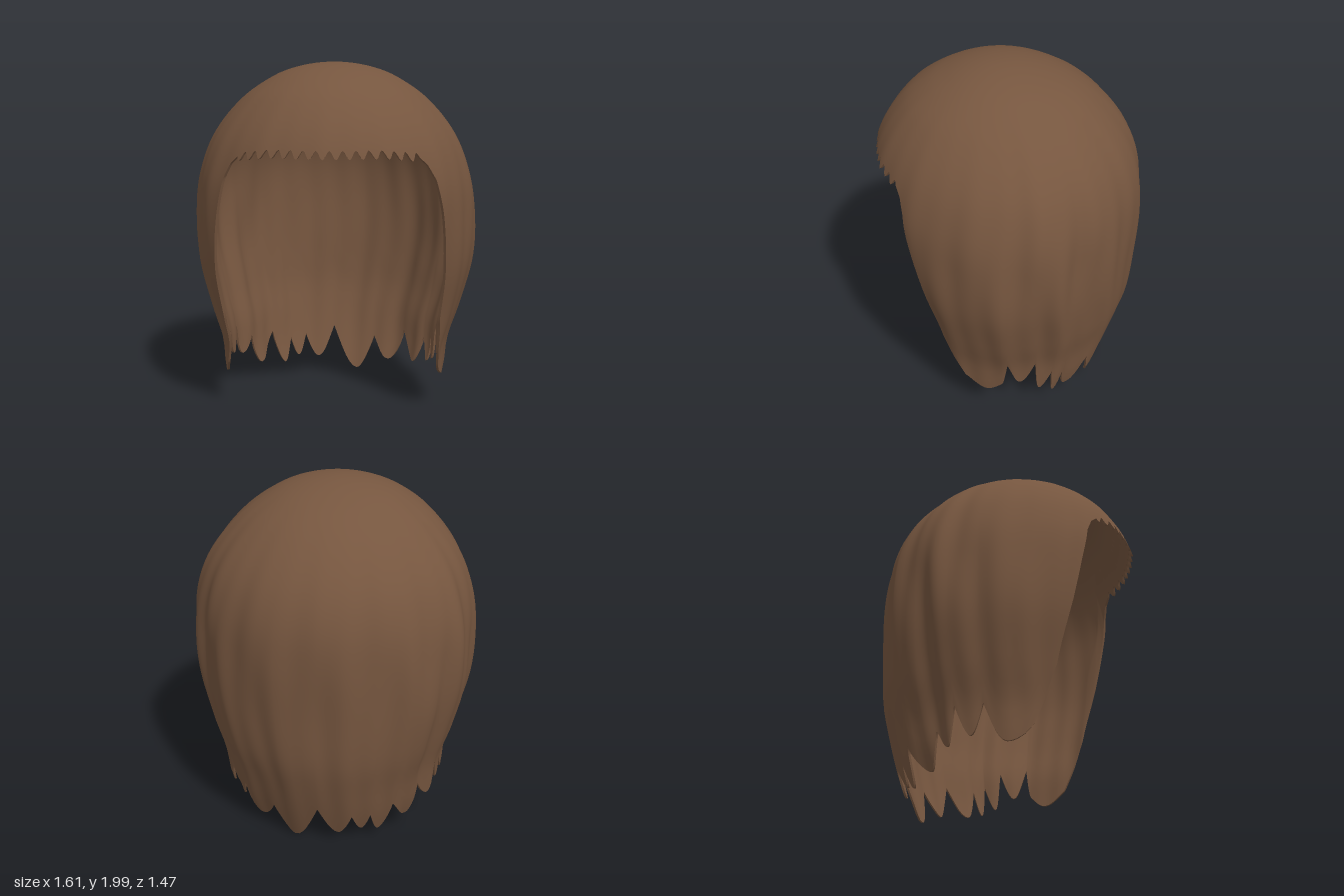
import * as THREE from 'three';

// Body profile: height, half width, front depth, back depth
const PROFILE = [
  [2, 0, 0, 0], [1.95, 0.28, 0.27, 0.26], [1.9, 0.38, 0.39, 0.37], [1.8, 0.52, 0.54, 0.5],
  [1.6, 0.685, 0.7, 0.645], [1.4, 0.765, 0.765, 0.715], [1.2, 0.795, 0.755, 0.735], [0.9, 0.79, 0.7, 0.727],
  [0.6, 0.72, 0.63, 0.71], [0.4, 0.66, 0.63, 0.665], [0.2, 0.64, 0.62, 0.605], [0, 0.58, 0.57, 0.535],
];
// Hem of each side: degrees from the back centre, height (alternating notches and tips)
const HEM_LEFT = [
  [-4, 0.27], [11, 0.01], [21, 0.22], [32, 0.09], [41, 0.29], [52, 0.12], [58, 0.29], [62, 0.15],
  [65, 0.33], [70, 0.19], [74, 0.42], [81, 0.26], [88, 0.45], [91, 0.27], [99, 0.21], [107, 0.25],
];
const HEM_RIGHT = [
  [-4, 0.27], [-14, 0.08], [-21, 0.22], [-27, 0.1], [-31, 0.21], [-37, 0.07], [-43, 0.27],
  [-56, 0.11], [-63, 0.3], [-70, 0.2], [-75, 0.4], [-82, 0.24], [-88, 0.4], [-99, 0.2], [-107, 0.24],
];
// Edge of the face opening, from the side locks up to the fringe
const FACE_EDGE = [[111, 0.29], [115.5, 0.4], [123, 0.6], [128, 0.95], [130.5, 1.2], [133, 1.4], [136, 1.48], [139.5, 1.52]];
const ROWS = 48;
const clamp = THREE.MathUtils.clamp;

// Smooth interpolation of the profile, spaced so the crown stays round
const keys = PROFILE.map(p => Math.sqrt(2 - p[0]));
function profile(y, col) {
  const p = Math.sqrt(clamp(2 - y, 0, 2));
  let i = 0;
  while (i < keys.length - 2 && p > keys[i + 1]) i++;
  const slope = k => {
    const a = Math.max(0, k - 1), b = Math.min(keys.length - 1, k + 1);
    return (PROFILE[b][col] - PROFILE[a][col]) / (keys[b] - keys[a]);
  };
  const h = keys[i + 1] - keys[i], t = (p - keys[i]) / h, t2 = t * t, t3 = t2 * t;
  return (2 * t3 - 3 * t2 + 1) * PROFILE[i][col] + (t3 - 2 * t2 + t) * h * slope(i)
    + (3 * t2 - 2 * t3) * PROFILE[i + 1][col] + (t3 - t2) * h * slope(i + 1);
}

// Point on the hair: angle s, height y, inset from the outside
function surfacePoint(s, y, inset) {
  // locks are deepest behind the ears and calm over the cheeks
  const amp = clamp((1.97 - y) / 0.8, 0, 1) * (0.4 + 0.6 * Math.exp(-(((Math.cos(s) - 0.4) / 0.4) ** 2)));
  const wave = 0.015
    - 0.014 * (1 + Math.sin(13 * s + 2 + 1.1 * Math.sin(3 * y)))
    - 0.007 * (1 + Math.sin(27 * s + 0.9 * Math.sin(4 * y + 1)))
    - 0.006 * Math.sin(5 * s + 3 * y);
  const grow = 1 + (amp * wave - inset) / 0.72;
  const depth = profile(y, Math.cos(s) > 0 ? 3 : 2);
  const centre = 0.07 * clamp((y - 1.4) / 0.6, 0, 1) ** 2;
  return [profile(y, 1) * Math.sin(s) * grow, y, centre - depth * Math.cos(s) * grow];
}

// Columns along one side of the hem, with rounded tips and sharp notches
function sideColumns(pts) {
  const out = [], n = 6;
  for (let i = 0; i < pts.length - 1; i++) {
    const [d0, y0] = pts[i], [d1, y1] = pts[i + 1];
    for (let j = 0; j < n; j++) {
      const t = j / n;
      let e = t;
      if (Math.abs(d1) < 108) e = y1 > y0 ? 1 - Math.cos(t * Math.PI / 2) : Math.sin(t * Math.PI / 2);
      out.push([d0 + (d1 - d0) * t, y0 + (y1 - y0) * e]);
    }
  }
  out.push(pts[pts.length - 1]);
  return out;
}

// Columns of [angle, hem height] right round the head
function hemColumns() {
  const cols = sideColumns([...HEM_LEFT, ...FACE_EDGE]);
  // scalloped fringe
  const teeth = 15, steps = teeth * 8, start = 139.5, span = 360 - 2 * start;
  for (let i = 1; i < steps; i++) {
    const t = i / steps;
    const rise = 0.025 * Math.min(1, 5 * Math.min(t, 1 - t));
    cols.push([start + span * t, 1.52 + rise + 0.022 * Math.sin(t * teeth * 2 * Math.PI)]);
  }
  const right = sideColumns([...HEM_RIGHT, ...FACE_EDGE.map(([d, y]) => [-d, y])]);
  // the first right column is the shared back notch
  cols.push(...right.slice(1).reverse().map(([d, y]) => [d + 360, y]));
  return cols.map(([d, y]) => [THREE.MathUtils.degToRad(d), y]);
}

// Closed ring of columns, each a list of points running downwards
function ringGeometry(columns, inward) {
  const rows = columns[0].length, n = columns.length, index = [];
  for (let i = 0; i < n; i++) {
    for (let j = 0; j < rows - 1; j++) {
      const a = i * rows + j, b = ((i + 1) % n) * rows + j;
      if (inward) index.push(a, a + 1, b, b, a + 1, b + 1);
      else index.push(a, b, a + 1, b, b + 1, a + 1);
    }
  }
  const g = new THREE.BufferGeometry();
  g.setAttribute('position', new THREE.Float32BufferAttribute(columns.flat(2), 3));
  g.setIndex(index);
  g.computeVertexNormals();
  return g;
}

export function createModel() {
  const group = new THREE.Group();
  group.name = 'bobHair';
  const brown = new THREE.MeshStandardMaterial({ color: 0x76563f });
  brown.name = 'chestnut brown';

  const hem = hemColumns();
  const shell = inner => hem.map(([s, end]) => {
    const column = [];
    for (let j = 0; j <= ROWS; j++) {
      const v = j / ROWS, y = 2 - (2 - end) * v * v;
      const inset = inner ? 0.014 + 0.018 * Math.min(1, (1 - v) * 6) : 0;
      const p = surfacePoint(s, y, inset);
      if (inner) p[1] -= inset * (1 - v * v);
      column.push(p);
    }
    return column;
  });
  const outer = shell(false), inner = shell(true);

  const add = (name, geometry) => {
    const mesh = new THREE.Mesh(geometry, brown);
    mesh.name = name;
    group.add(mesh);
    return geometry;
  };
  // Outside and lining, with the crown normals made even
  [['outerHair', outer, false], ['innerHair', inner, true]].forEach(([name, columns, inward]) => {
    const g = add(name, ringGeometry(columns, inward));
    hem.forEach((_, i) => g.attributes.normal.setXYZ(i * (ROWS + 1), 0, inward ? -1 : 1, 0));
  });
  // Thin edge joining outside and lining
  add('hemEdge', ringGeometry(outer.map((c, i) => [c[ROWS], inner[i][ROWS]]), false));
  return group;
}
